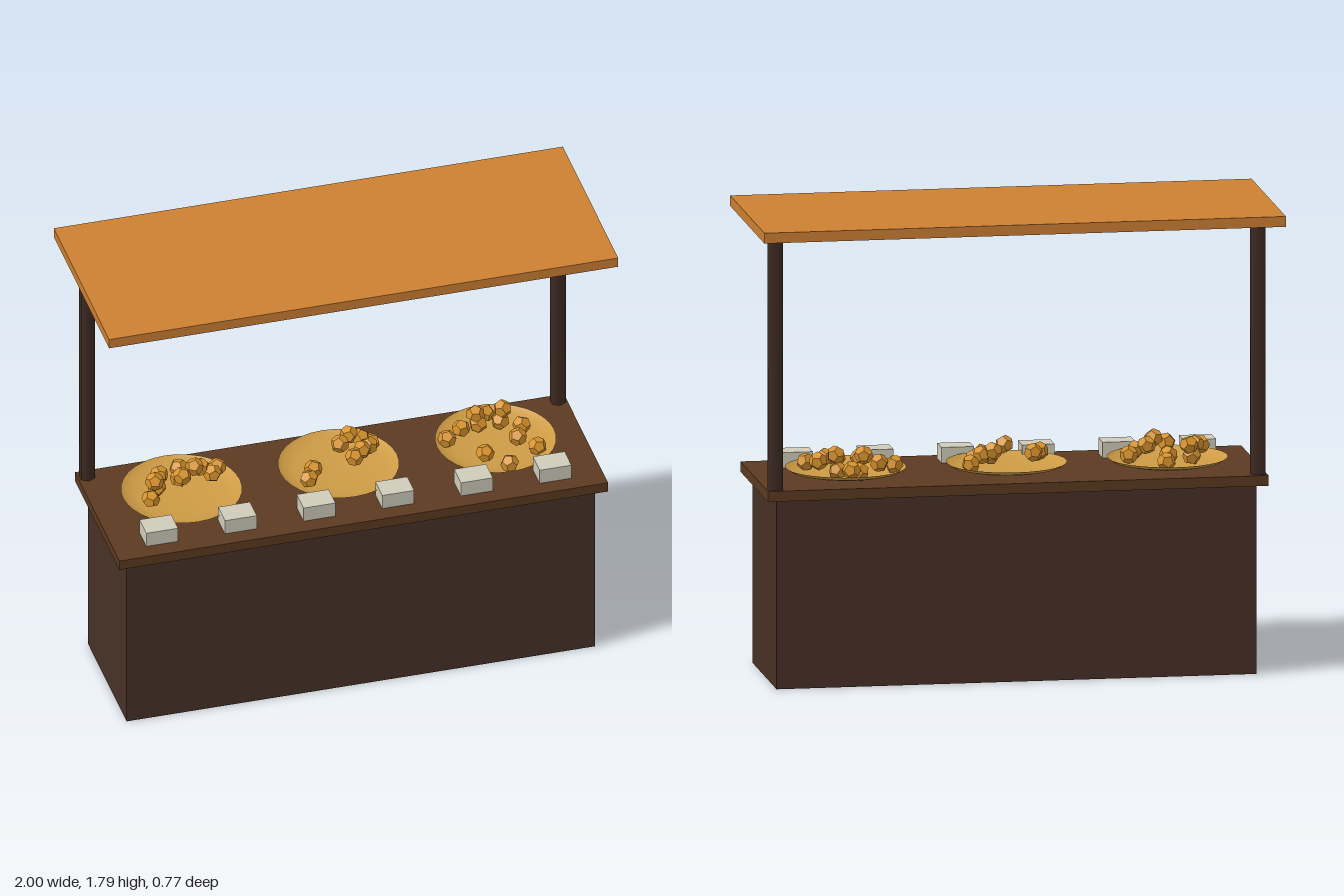
import * as THREE from 'three';

const material = (name, color, extra = {}) => {
  const m = new THREE.MeshStandardMaterial({ color, ...extra });
  m.name = name;
  return m;
};

export function createModel() {
  const model = new THREE.Group();
  model.name = 'marketStall';
  const darkWood = material('dark wood', 0x463026);
  const postWood = material('post wood', 0x3e2a23);
  const topWood = material('counter wood', 0x5c3a21);
  const canopyOrange = material('canopy orange', 0xcd7f32);
  const brass = material('brass', 0xcd9b45, { side: THREE.DoubleSide });
  const fruitOrange = material('fruit orange', 0xd8932c, { flatShading: true });
  const paleGrey = material('pale grey', 0xcfccba);

  const add = (name, geometry, mat, x, y, z, parent = model) => {
    const mesh = new THREE.Mesh(geometry, mat);
    mesh.name = name;
    mesh.position.set(x, y, z);
    parent.add(mesh);
    return mesh;
  };

  // Counter and canopy
  add('counterBody', new THREE.BoxGeometry(1.84, 0.73, 0.535), darkWood, 0, 0.365, 0.0775);
  add('counterTop', new THREE.BoxGeometry(1.92, 0.04, 0.615), topWood, 0, 0.75, 0.0775);
  add('canopy', new THREE.BoxGeometry(2, 0.04, 0.77), canopyOrange, 0, 1.775, 0);

  // Six-sided posts at the back corners
  const post = new THREE.CylinderGeometry(0.031, 0.031, 0.99, 6);
  for (const s of [-1, 1]) add('post', post, postWood, s * 0.925, 1.26, -0.19);

  // Row of small blocks along the front edge
  const block = new THREE.BoxGeometry(0.125, 0.06, 0.095);
  for (let i = 0; i < 6; i++) add('block', block, paleGrey, (i - 2.5) * 0.309, 0.8, 0.271);

  // Shallow dishes, each with a loose heap of fruit (x, y, z of every fruit)
  const profile = [[0, 0.774], [0.1, 0.776], [0.17, 0.782], [0.21, 0.792], [0.23, 0.806]];
  const dish = new THREE.LatheGeometry(profile.map(([x, y]) => new THREE.Vector2(x, y)), 32);
  const fruit = new THREE.DodecahedronGeometry(0.036);
  const heaps = [
    [[-0.757, 0.834, 0.106], [-0.72, 0.853, 0.026], [-0.692, 0.855, -0.01], [-0.612, 0.861, 0.03],
      [-0.612, 0.82, -0.017], [-0.56, 0.882, 0.013], [-0.53, 0.86, -0.01], [-0.49, 0.84, 0.014],
      [-0.457, 0.83, -0.037], [-0.591, 0.81, -0.097], [-0.705, 0.81, 0.004]],
    [[0.013, 0.877, 0.008], [0.067, 0.866, -0.058], [0.094, 0.845, 0.024], [0.06, 0.83, 0.042],
      [0.131, 0.834, -0.01], [0.152, 0.818, -0.057], [-0.142, 0.824, 0.127], [-0.11, 0.829, 0.074],
      [0.11, 0.85, -0.05]],
    [[0.671, 0.87, -0.06], [0.564, 0.866, -0.06], [0.5, 0.829, -0.033], [0.548, 0.818, 0.134],
      [0.725, 0.834, 0.014], [0.69, 0.834, 0.085], [0.623, 0.807, 0.21], [0.754, 0.81, 0.132],
      [0.581, 0.805, -0.08], [0.665, 0.81, -0.07], [0.436, 0.815, 0], [0.62, 0.82, -0.12]],
  ];
  heaps.forEach((heap, i) => {
    const group = new THREE.Group();
    group.name = 'fruitDish';
    model.add(group);
    add('dish', dish, brass, (i - 1) * 0.617, 0, 0.035, group);
    heap.forEach(([x, y, z], k) => {
      add('fruit', fruit, fruitOrange, x, y, z, group).rotation.set(k * 1.3, k * 2.1 + i, k * 0.7);
    });
  });
  return model;
}
